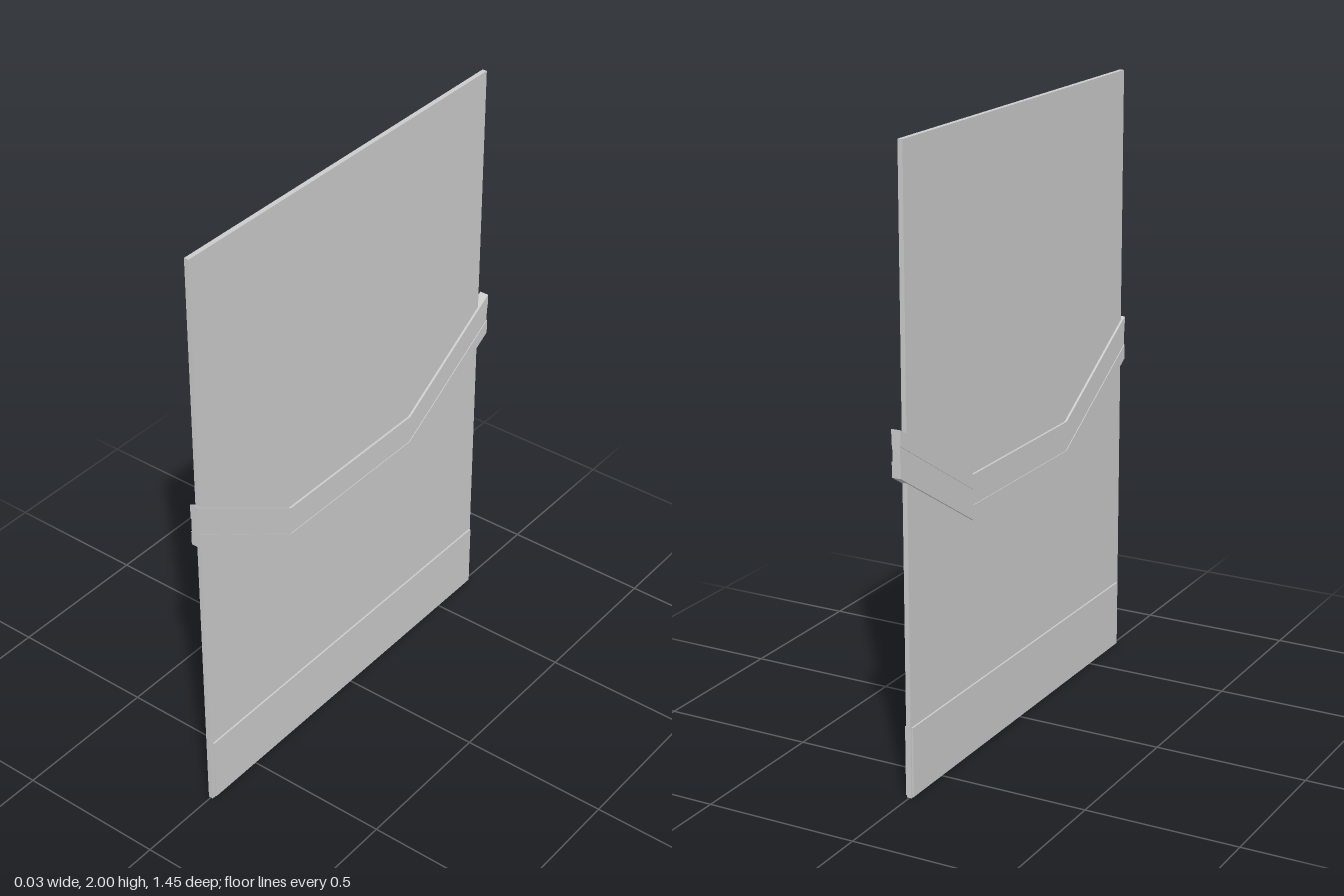
import * as THREE from 'three';

const material = new THREE.MeshStandardMaterial({ color: 0xcccccc, flatShading: true, side: THREE.DoubleSide });

// Box given by its full thickness in x and its extents in y and z
function slab(name, thickness, y0, y1, z0, z1) {
  const mesh = new THREE.Mesh(new THREE.BoxGeometry(thickness, y1 - y0, z1 - z0), material);
  mesh.position.set(0, (y0 + y1) / 2, (z0 + z1) / 2);
  mesh.name = name;
  return mesh;
}

// One bent strip of the push bar, passing through the door leaf
function bentStrip(name, y0, y1, thickness) {
  const path = [[-0.725, 0.255], [-0.305, 0], [0.305, 0], [0.725, 0.255]];
  const outline = [
    ...path.map(([z, rise]) => new THREE.Vector2(z, y0 + rise)),
    ...path.slice().reverse().map(([z, rise]) => new THREE.Vector2(z, y1 + rise)),
  ];
  const geometry = new THREE.ExtrudeGeometry(new THREE.Shape(outline), { depth: thickness, bevelEnabled: false });
  geometry.translate(0, 0, -thickness / 2);
  geometry.rotateY(-Math.PI / 2); // outline x becomes z
  const mesh = new THREE.Mesh(geometry, material);
  mesh.name = name;
  return mesh;
}

export function createModel() {
  const door = new THREE.Group();
  door.name = 'door';

  // Leaf and kick plate
  door.add(slab('doorLeaf', 0.016, 0, 2, -0.68, 0.71));
  door.add(slab('kickPlate', 0.028, 0.005, 0.23, -0.676, 0.698));

  // Push bar of three strips, the middle one slightly recessed
  const bar = new THREE.Group();
  bar.name = 'pushBar';
  const bottom = 0.77, height = 0.147 / 3;
  ['lowerStrip', 'middleStrip', 'upperStrip'].forEach((name, i) => {
    const y = bottom + i * height;
    bar.add(bentStrip(name, y, y + height, i === 1 ? 0.026 : 0.031));
  });
  door.add(bar);
  return door;
}
